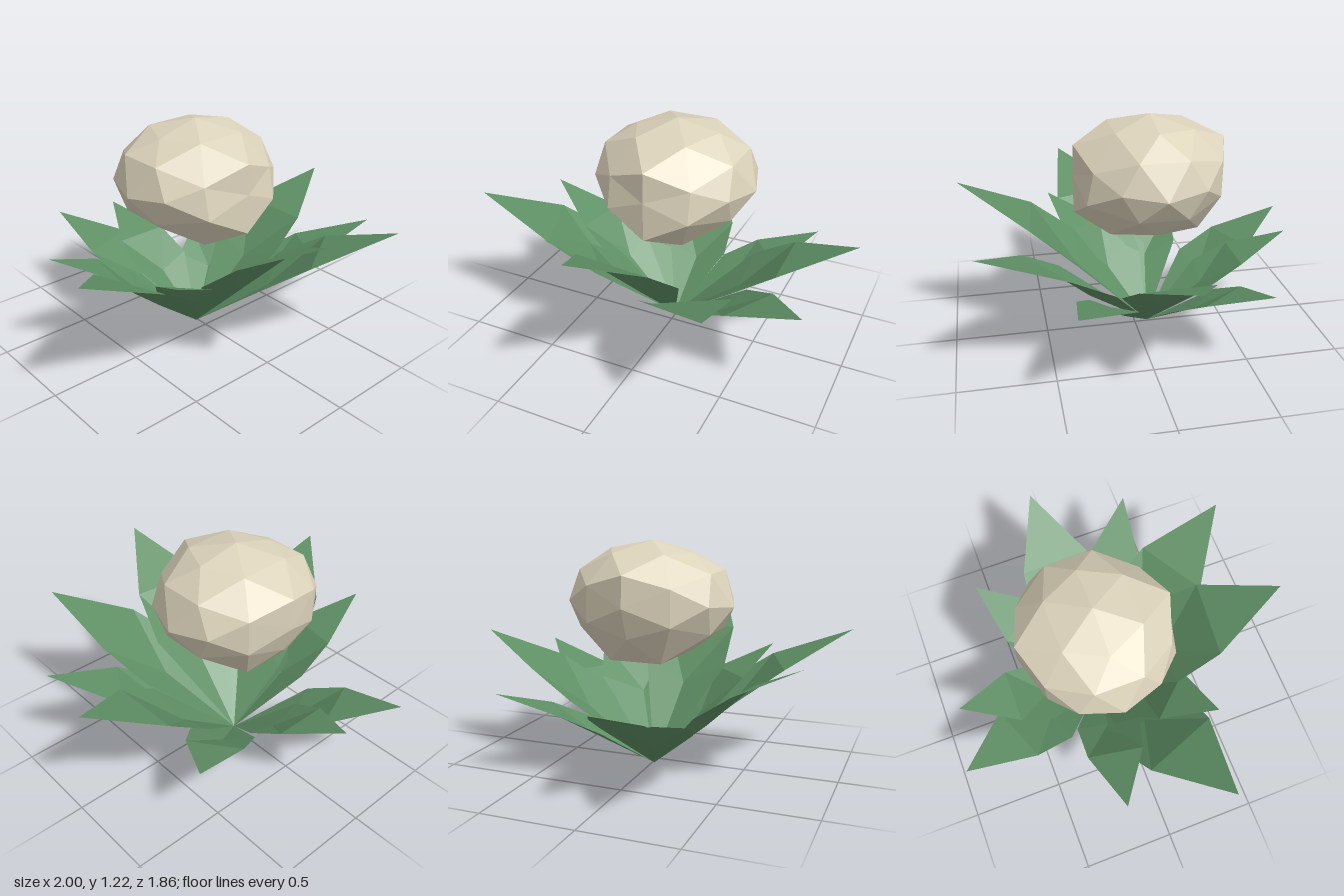
import * as THREE from 'three';

const leafGreen = new THREE.MeshStandardMaterial({ color: 0x5f9065, flatShading: true, side: THREE.DoubleSide });
leafGreen.name = 'leaf green';
const headCream = new THREE.MeshStandardMaterial({ color: 0xdcd3bb, flatShading: true });
headCream.name = 'head cream';

// All leaves grow from this point
const ROOT = new THREE.Vector3(-0.01, 0, -0.07);

// One leaf: root point, cupped lower row, flat shoulder and a flat pointed tip
function makeLeaf([x, y, z, halfWidth]) {
  const dir = new THREE.Vector3(x - ROOT.x, 0, z - ROOT.z);
  const length = dir.length();
  dir.normalize();
  const side = new THREE.Vector3(dir.z, 0, -dir.x);
  const point = (along, height, across) => ROOT.clone()
    .addScaledVector(dir, along * length)
    .addScaledVector(side, across * halfWidth)
    .setY(height * y);
  const geometry = new THREE.BufferGeometry().setFromPoints([
    point(0, 0, 0),
    point(0.395, 0.55, -1.17), point(0.38, 0.42, 0), point(0.395, 0.55, 1.17),
    point(0.63, 0.765, -1), point(0.63, 0.765, 1),
    point(1, 1, 0),
  ]);
  geometry.setIndex([
    0, 1, 2, 0, 2, 3,
    1, 4, 2, 2, 4, 5, 2, 5, 3,
    4, 6, 5,
  ]);
  const flat = geometry.toNonIndexed();
  flat.computeVertexNormals();
  return new THREE.Mesh(flat, leafGreen);
}

// Faceted head: a squashed icosphere with a flattened base and pushed-out ridges
function makeHead() {
  const geometry = new THREE.IcosahedronGeometry(1, 1);
  const pos = geometry.attributes.position;
  const v = new THREE.Vector3();
  const near = (x, y, z) => Math.hypot(Math.abs(v.x) - x, v.y - y, Math.abs(v.z) - z) < 0.05;
  for (let i = 0; i < pos.count; i++) {
    v.fromBufferAttribute(pos, i);
    if (near(0, 0.526, 0.85)) v.z *= 1.16; // upper front and back ridges
    else if (near(0, -0.526, 0.85) && v.z > 0) v.set(0, -0.69, 1); // lower front lip
    else if (near(0.5, -0.309, 0.809) && v.z > 0) v.z *= 1.11;
    else if (near(0.309, -0.809, 0.5)) v.set(v.x, -0.97, v.z * 1.15); // flat base
    else if (near(0.526, -0.85, 0)) v.y = v.x < 0 ? -0.84 : -0.92;
    else if (near(0.526, 0.85, 0) && v.x < 0) v.y = 0.78;
    else if (near(0.5, 0.309, 0.809) && v.z > 0) v.y = 0.24;
    else if (near(1, 0, 0)) v.y = -0.08;
    pos.setXYZ(i, v.x * 0.445 - 0.005, v.y * 0.305 + 0.915, v.z * 0.41 - 0.08);
  }
  geometry.computeVertexNormals();
  return new THREE.Mesh(geometry, headCream);
}

export function createModel() {
  const model = new THREE.Group();
  model.name = 'cauliflower';

  const head = makeHead();
  head.name = 'head';
  model.add(head);

  // Tip x, y, z and half width of each leaf
  const leaves = [
    [-0.355, 0.50, -0.935, 0.165],
    [-0.01, 0.49, -0.87, 0.15],
    [0.67, 0.45, -0.57, 0.15],
    [0.995, 0.685, -0.10, 0.195],
    [0.865, 0.55, 0.425, 0.165],
    [0.54, 0.725, 0.86, 0.205],
    [-0.10, 0.88, 0.925, 0.21],
    [-0.545, 0.62, 0.42, 0.15],
    [-1.0, 0.75, 0.305, 0.21],
    [-0.845, 0.63, -0.215, 0.15],
  ];
  const crown = new THREE.Group();
  crown.name = 'leaves';
  leaves.forEach((spec, i) => {
    const leaf = makeLeaf(spec);
    leaf.name = `leaf${i + 1}`;
    crown.add(leaf);
  });
  model.add(crown);
  return model;
}
